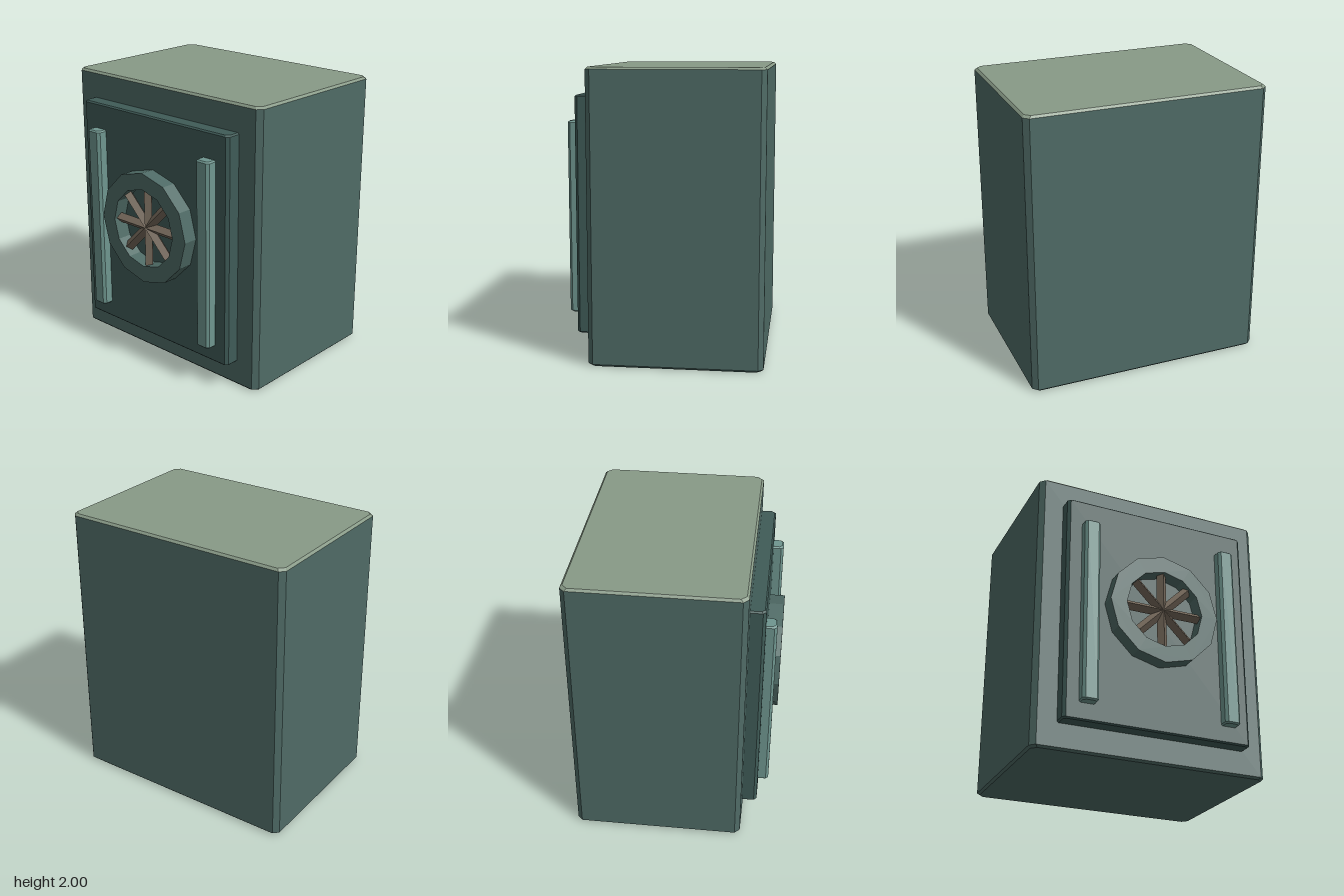
import * as THREE from 'three';

const mat = (color) => new THREE.MeshStandardMaterial({ color, flatShading: true });
const steel = mat(0x4f6b66), lid = mat(0x889a87), dark = mat(0x3f5b57);
const pale = mat(0x6f968f), bronze = mat(0x74685a);

function add(parent, name, geometry, material, x = 0, y = 0, z = 0) {
  const mesh = new THREE.Mesh(geometry, material);
  mesh.name = name;
  mesh.position.set(x, y, z);
  parent.add(mesh);
  return mesh;
}

// Rectangle in x/z with cut corners, as eight points
function outline(w, d, c, inset) {
  const x = w / 2 - inset, z = d / 2 - inset;
  return [[x, z - c], [x - c, z], [c - x, z], [-x, z - c],
    [-x, c - z], [c - x, -z], [x - c, -z], [x, c - z]];
}

// Stack of cut-corner sections, each given as [y, inset], optionally capped
function stack(w, d, c, sections, capBottom, capTop) {
  const pos = [];
  const loops = sections.map(([y, inset]) =>
    outline(w, d, c, inset).map(([x, z]) => [x, y, z]));
  const tri = (a, b, e) => pos.push(...a, ...b, ...e);
  for (let s = 0; s < loops.length - 1; s++) {
    const lo = loops[s], hi = loops[s + 1];
    for (let i = 0; i < 8; i++) {
      const j = (i + 1) % 8;
      tri(lo[i], hi[j], lo[j]);
      tri(lo[i], hi[i], hi[j]);
    }
  }
  const first = loops[0], last = loops[loops.length - 1];
  for (let i = 1; i < 7; i++) {
    if (capBottom) tri(first[0], first[i], first[i + 1]);
    if (capTop) tri(last[0], last[i + 1], last[i]);
  }
  const g = new THREE.BufferGeometry();
  g.setAttribute('position', new THREE.Float32BufferAttribute(pos, 3));
  g.computeVertexNormals();
  return g;
}

const block = (w, h, d, c, b) =>
  stack(w, d, c, [[0, b], [b, 0], [h - b, 0], [h, b]], true, true);

// Twelve-sided flat ring with a corner pointing straight up
function ringGeometry(outer, inner, depth) {
  const corners = (r) => Array.from({ length: 12 }, (_, i) =>
    new THREE.Vector2(r * Math.cos(i * Math.PI / 6), r * Math.sin(i * Math.PI / 6)));
  const shape = new THREE.Shape(corners(outer));
  shape.holes.push(new THREE.Path(corners(inner)));
  return new THREE.ExtrudeGeometry(shape, { depth, bevelEnabled: false });
}

export function createModel() {
  const model = new THREE.Group();
  model.name = 'safe';

  // Cabinet, with a lighter lid that includes the top bevel
  add(model, 'cabinet', stack(1.7, 1.18, 0.035, [[0, 0.015], [0.015, 0], [1.985, 0]], true, false),
    steel, 0, 0, -0.105);
  add(model, 'lid', stack(1.7, 1.18, 0.035, [[1.985, 0], [2, 0.015]], false, true),
    lid, 0, 0, -0.105);

  // Raised door and its two upright bars
  add(model, 'door', block(1.36, 1.63, 0.14, 0.02, 0.01), dark, 0, 0.18, 0.52);
  for (const side of [-1, 1]) {
    add(model, side > 0 ? 'leftBar' : 'rightBar', block(0.115, 1.33, 0.11, 0.018, 0.01),
      pale, side * 0.517, 0.3, 0.608);
  }

  // Hand wheel: rim and four crossing square rods set on edge
  const wheel = new THREE.Group();
  wheel.name = 'handWheel';
  wheel.position.set(0, 1.04, 0.58);
  model.add(wheel);
  add(wheel, 'rim', ringGeometry(0.4, 0.282, 0.115), steel);
  for (let i = 0; i < 4; i++) {
    const rod = add(wheel, 'spoke', new THREE.CylinderGeometry(0.036, 0.036, 0.6, 4), bronze, 0, 0, 0.06);
    rod.rotation.z = i * Math.PI / 4;
  }
  return model;
}
